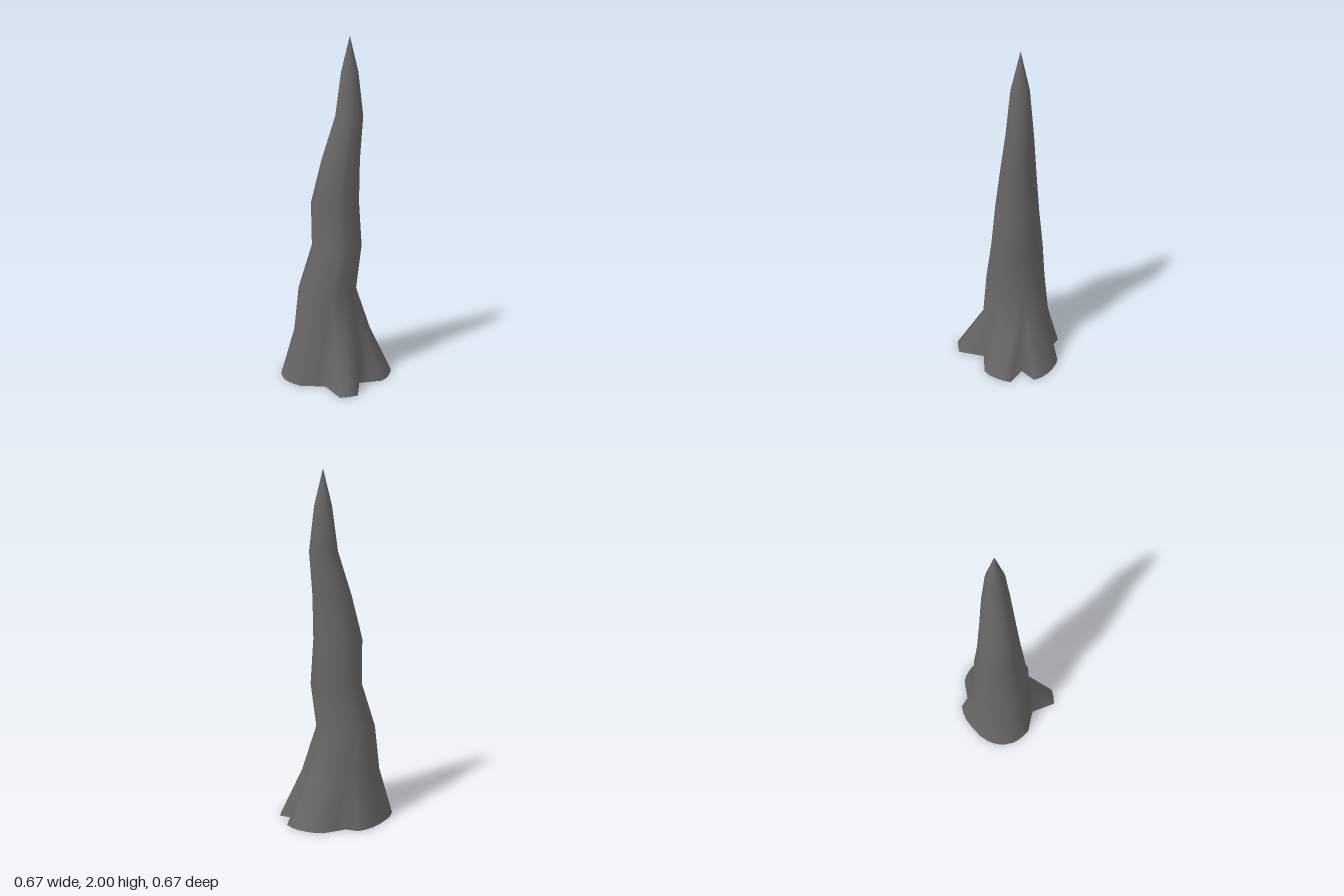
import * as THREE from 'three';

const material = new THREE.MeshStandardMaterial({ color: 0x666666 });

// Lobed foot outline as [x, z], running back, right (-x), front, left (+x)
const FOOT = [
  [-0.02, -0.335], [-0.07, -0.33], [-0.12, -0.315], [-0.17, -0.287], [-0.215, -0.255],
  [-0.255, -0.225], [-0.29, -0.185], [-0.315, -0.145], [-0.33, -0.1], [-0.335, -0.05],
  [-0.33, 0], [-0.315, 0.04], [-0.29, 0.08], [-0.255, 0.12], [-0.165, 0.15], [-0.12, 0.17],
  [-0.08, 0.33], [-0.03, 0.333], [0.025, 0.328], [0.083, 0.172], [0.15, 0.175],
  [0.22, 0.178], [0.26, 0.15], [0.29, 0.11], [0.315, 0.07], [0.333, 0.025],
  [0.245, -0.055], [0.33, -0.12], [0.315, -0.17], [0.285, -0.215], [0.25, -0.25],
  [0.21, -0.28], [0.17, -0.297], [0.1, -0.294], [0.035, -0.29],
];

// Elliptical sections of the bent spike: [y, centre x, radius x, radius z]
const SECTIONS = [
  [0.27, -0.022, 0.232, 0.21], [0.53, -0.052, 0.172, 0.183], [0.79, 0.007, 0.148, 0.156],
  [1.05, -0.003, 0.143, 0.128], [1.3, 0.032, 0.113, 0.102], [1.55, 0.083, 0.082, 0.076],
  [1.8, 0.085, 0.05, 0.05], [2, 0.085, 0.0008, 0.0008],
];
const AXIS_Z = -0.05;

function spikeGeometry() {
  const n = FOOT.length;
  const positions = [];
  const index = [];
  FOOT.forEach(([x, z]) => positions.push(x, 0, z));

  // Each section keeps the angular spacing of the foot outline
  for (const [y, cx, rx, rz] of SECTIONS) {
    for (const [x, z] of FOOT) {
      const a = Math.atan2(z - AXIS_Z, x + 0.02);
      positions.push(cx + rx * Math.cos(a), y, AXIS_Z + rz * Math.sin(a));
    }
  }
  for (let j = 0; j < SECTIONS.length; j++) {
    for (let i = 0; i < n; i++) {
      const k = (i + 1) % n;
      const a = j * n + i, b = j * n + k;
      index.push(a, b, b + n, a, b + n, a + n);
    }
  }
  const geometry = new THREE.BufferGeometry();
  geometry.setAttribute('position', new THREE.Float32BufferAttribute(positions, 3));
  geometry.setIndex(index);
  geometry.computeVertexNormals();
  return geometry;
}

export function createModel() {
  const group = new THREE.Group();
  group.name = 'rockSpire';

  const spike = new THREE.Mesh(spikeGeometry(), material);
  spike.name = 'spike';
  group.add(spike);

  // Flat underside closing the foot
  const outline = new THREE.Shape(FOOT.map(([x, z]) => new THREE.Vector2(x, z)));
  const underside = new THREE.Mesh(new THREE.ShapeGeometry(outline).rotateX(Math.PI / 2), material);
  underside.name = 'underside';
  group.add(underside);

  return group;
}
